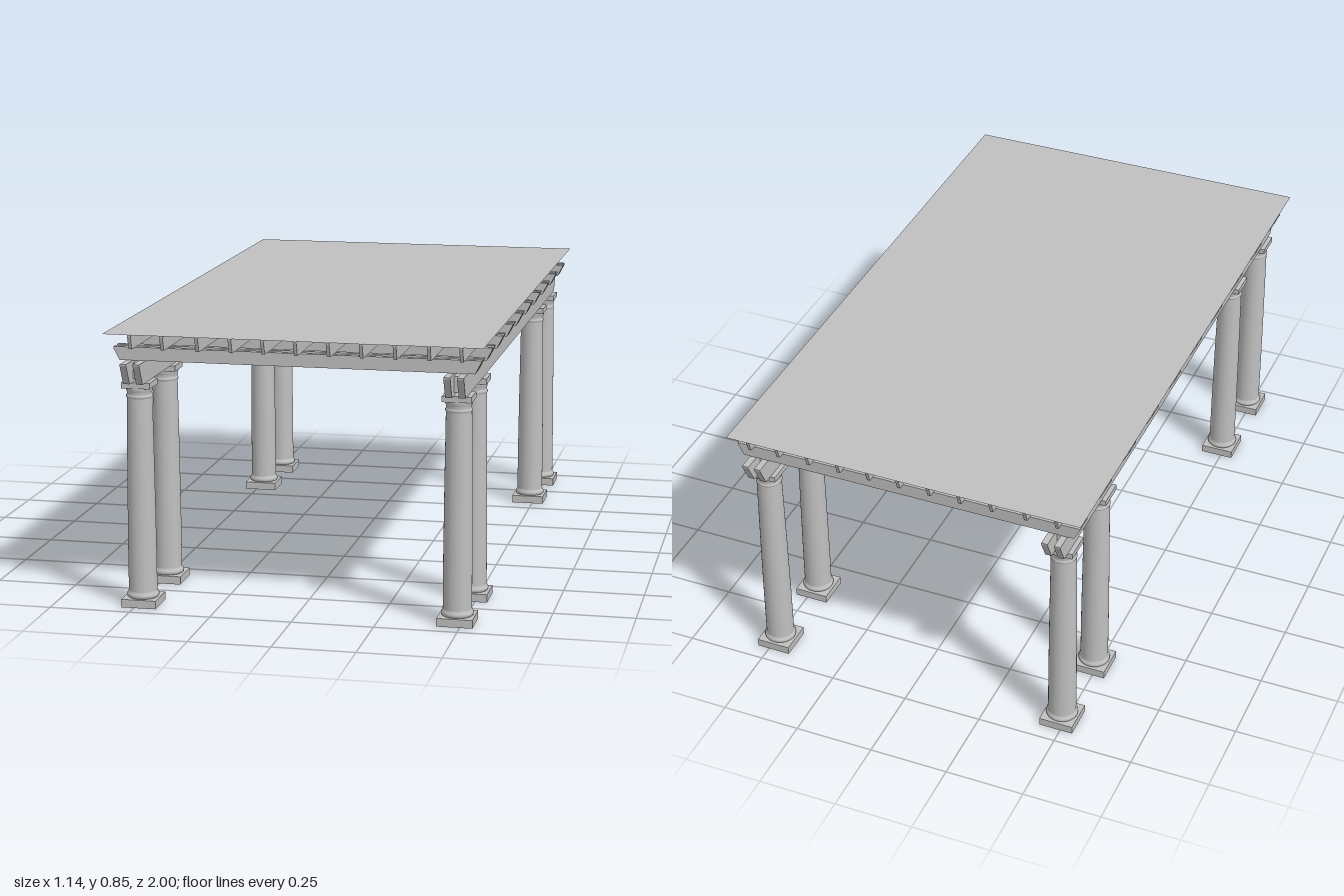
import * as THREE from 'three';

export function createModel() {
  const stone = new THREE.MeshStandardMaterial({ color: 0xc0c0c0 });
  stone.name = 'pale grey';
  const sheet = new THREE.MeshStandardMaterial({ color: 0xc0c0c0, side: THREE.DoubleSide });
  sheet.name = 'roof grey';

  const model = new THREE.Group();
  model.name = 'pergola';

  const add = (parent, name, geometry, x = 0, y = 0, z = 0, material = stone) => {
    const mesh = new THREE.Mesh(geometry, material);
    mesh.name = name;
    mesh.position.set(x, y, z);
    parent.add(mesh);
    return mesh;
  };

  // Timber running along x, with ends cut back towards the bottom
  const timber = (halfTop, halfBottom, height, width) => {
    const s = new THREE.Shape();
    s.moveTo(-halfBottom, 0);
    s.lineTo(halfBottom, 0);
    s.lineTo(halfTop, height - 0.005);
    s.lineTo(halfTop, height);
    s.lineTo(-halfTop, height);
    s.lineTo(-halfTop, height - 0.005);
    s.closePath();
    const g = new THREE.ExtrudeGeometry(s, { depth: width, bevelEnabled: false });
    return g.translate(0, 0, -width / 2);
  };

  const sideX = [-0.485, 0.484];
  const columnZ = [0.901, 0.626, -0.623, -0.896];
  const rafterZ = Array.from({ length: 10 }, (_, i) => 0.904 - i * 0.2024);

  // Turned profiles: base ring, tapered shaft, neck ring and flared cap
  const lathe = (points) =>
    new THREE.LatheGeometry(points.map(([r, y]) => new THREE.Vector2(r, y)), 32);
  const baseRing = lathe([
    [0.045, 0.025], [0.048, 0.028], [0.0495, 0.033], [0.048, 0.038], [0.045, 0.041], [0.044, 0.046],
  ]);
  const shaft = lathe([[0.0435, 0.041], [0.0432, 0.2], [0.0415, 0.4], [0.0385, 0.645]]);
  const neckRing = lathe([[0.038, 0.642], [0.0405, 0.646], [0.0405, 0.65], [0.038, 0.654]]);
  const cap = lathe([[0.038, 0.652], [0.038, 0.661], [0.0395, 0.664], [0.041, 0.67], [0.041, 0.677]]);
  const plinth = new THREE.BoxGeometry(0.108, 0.025, 0.108);
  const abacus = new THREE.BoxGeometry(0.088, 0.018, 0.088);

  for (const x of sideX) {
    for (const z of columnZ) {
      const column = new THREE.Group();
      column.name = 'column';
      column.position.set(x, 0, z);
      model.add(column);
      add(column, 'plinth', plinth, 0, 0.0125);
      add(column, 'baseRing', baseRing);
      add(column, 'shaft', shaft);
      add(column, 'neckRing', neckRing);
      add(column, 'cap', cap);
      add(column, 'abacus', abacus, 0, 0.685);
    }
  }

  // Doubled main beams along z, with spacer blocks over the columns
  const beam = timber(1.0, 0.968, 0.066, 0.02).rotateY(Math.PI / 2);
  const beamSpacer = new THREE.BoxGeometry(0.022, 0.048, 0.06);
  for (const x of sideX) {
    for (const s of [-1, 1]) add(model, 'mainBeam', beam, x + s * 0.02, 0.694);
    for (const z of columnZ) add(model, 'beamSpacer', beamSpacer, x, 0.727, z);
  }

  // Doubled rafters along x, with spacer blocks over the beams
  const rafter = timber(0.554, 0.536, 0.04, 0.019);
  const rafterSpacer = new THREE.BoxGeometry(0.06, 0.03, 0.022);
  for (const z of rafterZ) {
    for (const s of [-1, 1]) add(model, 'rafter', rafter, 0, 0.76, z + s * 0.0195);
    for (const x of sideX) add(model, 'rafterSpacer', rafterSpacer, x, 0.78, z);
  }

  // Thin purlins along z
  const purlin = timber(0.981, 0.967, 0.044, 0.01).rotateY(Math.PI / 2);
  for (const x of [-0.491, -0.393, -0.286, -0.185, -0.087, 0.011, 0.109, 0.207, 0.307, 0.407, 0.502]) {
    add(model, 'purlin', purlin, x, 0.8);
  }

  // Flat roof sheet
  const roof = new THREE.PlaneGeometry(1.14, 1.974).rotateX(-Math.PI / 2);
  add(model, 'roofSheet', roof, -0.003, 0.845, -0.005, sheet);

  return model;
}
